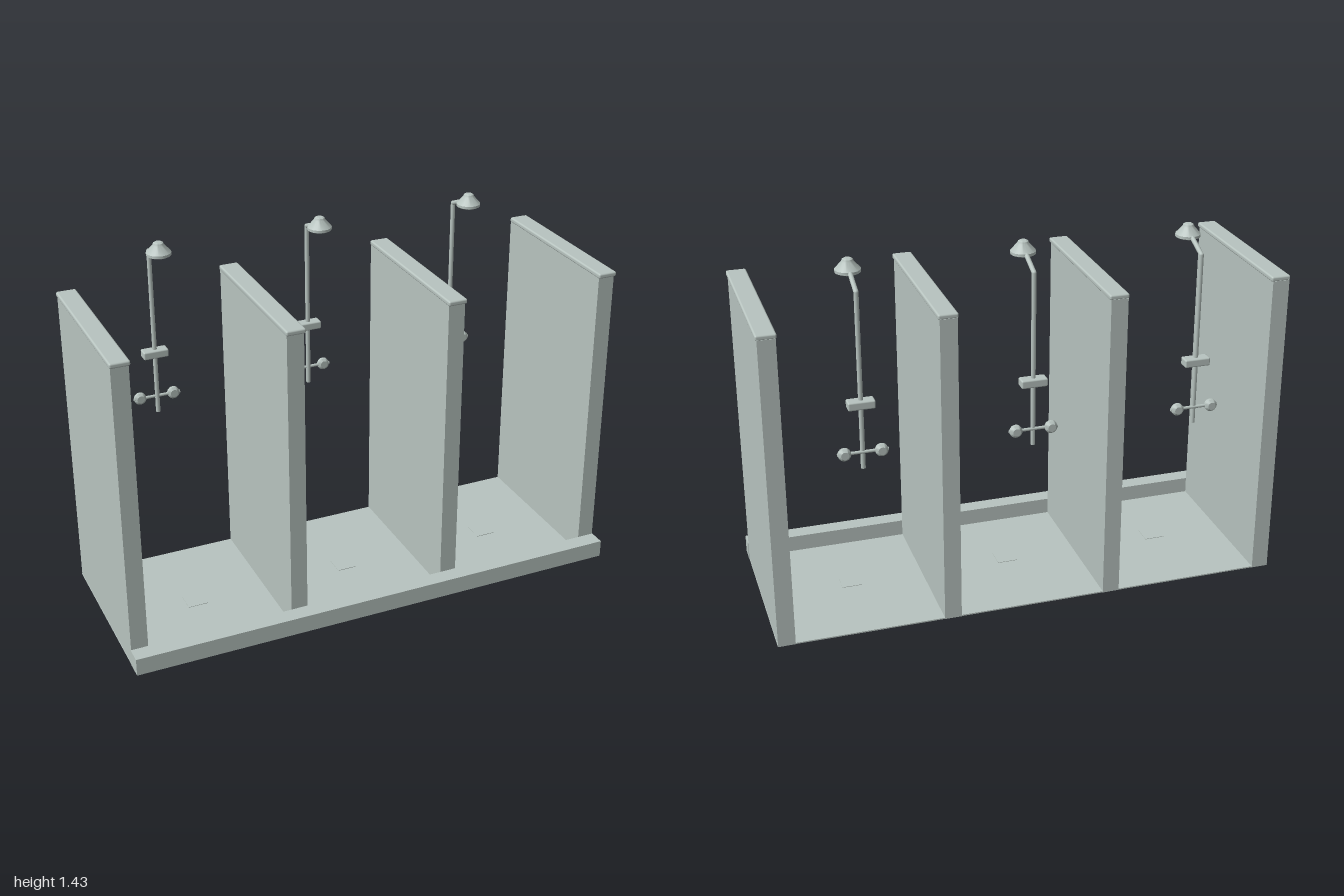
import * as THREE from 'three';
import { RoundedBoxGeometry } from 'three/addons/geometries/RoundedBoxGeometry.js';
import { toCreasedNormals } from 'three/addons/utils/BufferGeometryUtils.js';

const ceramic = new THREE.MeshStandardMaterial({ color: 0xb8c4c0 });
ceramic.name = 'pale grey green';

function add(parent, name, geometry, x = 0, y = 0, z = 0) {
  const mesh = new THREE.Mesh(geometry, ceramic);
  mesh.name = name;
  mesh.position.set(x, y, z);
  parent.add(mesh);
  return mesh;
}

// Straight round pipe between two points
function pipe(parent, name, a, b, r) {
  const dir = b.clone().sub(a);
  const mesh = add(parent, name, new THREE.CylinderGeometry(r, r, dir.length(), 12));
  mesh.position.copy(a).addScaledVector(dir, 0.5);
  mesh.quaternion.setFromUnitVectors(new THREE.Vector3(0, 1, 0), dir.normalize());
}

function lathe(points) {
  const profile = points.map(([r, y]) => new THREE.Vector2(r, y));
  return toCreasedNormals(new THREE.LatheGeometry(profile, 20), 0.5);
}

function makeShower() {
  const g = new THREE.Group();
  g.name = 'shower';
  const z = -0.347;
  const bend = new THREE.Vector3(0, 1.353, z);

  // Riser and sloping arm
  pipe(g, 'riser', new THREE.Vector3(0, 0.68, z), bend, 0.009);
  add(g, 'elbow', new THREE.SphereGeometry(0.009, 12, 8), bend.x, bend.y, bend.z);
  pipe(g, 'arm', bend, new THREE.Vector3(0, 1.398, -0.24), 0.009);

  // Bell-shaped head
  add(g, 'showerHead', lathe([
    [0, 0], [0.04, 0], [0.047, 0.004], [0.047, 0.014], [0.022, 0.042],
    [0.019, 0.05], [0.012, 0.054], [0, 0.054],
  ]), 0, 1.38, -0.22);

  // Soap dish
  add(g, 'soapDish', new RoundedBoxGeometry(0.1, 0.032, 0.046, 2, 0.006), 0, 0.933, -0.347);

  // Tap bar with a knob near each end
  pipe(g, 'tapBar', new THREE.Vector3(-0.094, 0.746, -0.352),
    new THREE.Vector3(0.094, 0.746, -0.352), 0.006);
  for (const side of [-1, 1]) {
    const knob = add(g, 'tapKnob', lathe([
      [0, -0.016], [0.015, -0.016], [0.024, -0.006], [0.024, 0.006], [0.015, 0.014], [0, 0.014],
    ]), side * 0.068, 0.746, -0.354);
    knob.rotation.x = Math.PI / 2;
  }
  return g;
}

export function createModel() {
  const model = new THREE.Group();
  model.name = 'showerStalls';

  // Thin floor with a raised curb along the front
  add(model, 'floor', new THREE.BoxGeometry(1.988, 0.005, 0.675), 0, 0.0025, -0.0315);
  add(model, 'curb', new THREE.BoxGeometry(1.99, 0.07, 0.066), 0, 0.035, 0.337);

  // Partition walls with rounded caps
  for (let i = 0; i < 4; i++) {
    const x = -0.96 + i * 0.64;
    add(model, 'partition', new THREE.BoxGeometry(0.066, 1.225, 0.674), x, 0.6125, -0.033);
    add(model, 'partitionCap', new RoundedBoxGeometry(0.076, 0.02, 0.683, 2, 0.007), x, 1.232, -0.0275);
  }

  // One shower and floor drain per stall
  for (const x of [-0.64, 0, 0.64]) {
    const shower = makeShower();
    shower.position.x = x;
    model.add(shower);
    add(model, 'drain', new THREE.BoxGeometry(0.08, 0.003, 0.08), x, 0.0055, 0);
  }
  return model;
}
